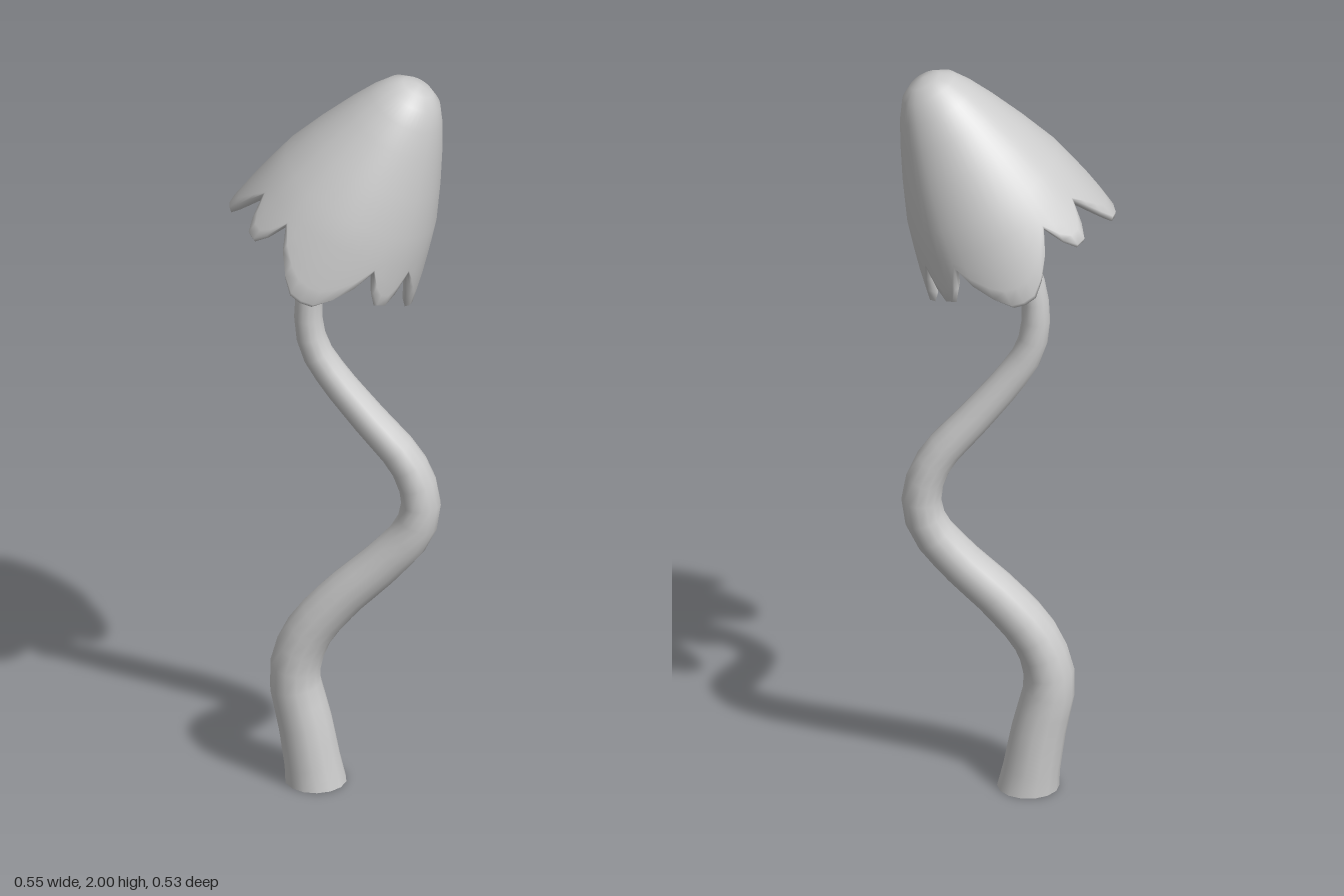
import * as THREE from 'three';
import { mergeVertices } from 'three/addons/utils/BufferGeometryUtils.js';

const material = new THREE.MeshStandardMaterial({ color: 0xcccccc });

// Skin a stack of closed rings (arrays of Vector3) with smooth normals
function loft(rings) {
  const n = rings[0].length;
  const index = [];
  for (let i = 0; i < rings.length - 1; i++) {
    for (let j = 0; j < n; j++) {
      const k = (j + 1) % n;
      const a = i * n + j, b = i * n + k, c = a + n, d = b + n;
      index.push(a, c, b, b, c, d);
    }
  }
  let geometry = new THREE.BufferGeometry().setFromPoints(rings.flat());
  geometry.setIndex(index);
  geometry = mergeVertices(geometry, 1e-5);
  geometry.computeVertexNormals();
  return geometry;
}

// Linear lookup in a list of [key, value] pairs
function lookup(table, key) {
  for (let i = 1; i < table.length; i++) {
    const [k0, v0] = table[i - 1], [k1, v1] = table[i];
    if (key <= k1) return v0 + (v1 - v0) * (key - k0) / (k1 - k0);
  }
  return table[table.length - 1][1];
}

// Winding, tapering stem
function createStem() {
  const sides = 14, steps = 36;
  const path = new THREE.CatmullRomCurve3([
    [-0.048, 0], [-0.075, 0.16], [-0.102, 0.3], [-0.07, 0.41], [0.015, 0.52],
    [0.13, 0.635], [0.205, 0.73], [0.222, 0.81], [0.19, 0.91], [0.09, 1.03],
    [0, 1.14], [-0.05, 1.22], [-0.067, 1.3], [-0.06, 1.4], [-0.03, 1.5], [0.05, 1.72],
  ].map(([x, y]) => new THREE.Vector3(x, y, 0)));
  const rings = [];
  for (let i = 0; i <= steps; i++) {
    const c = path.getPointAt(i / steps);
    const t = i === 0 ? new THREE.Vector3(0, 1, 0) : path.getTangentAt(i / steps);
    const rz = 0.082 - 0.032 * c.y;
    const rx = rz * (i === 0 ? 0.96 : 0.9);
    const ring = [];
    for (let j = 0; j < sides; j++) {
      const a = (j / sides) * Math.PI * 2;
      const u = Math.cos(a) * rx;
      ring.push(new THREE.Vector3(c.x + t.y * u, c.y - t.x * u, Math.sin(a) * rz));
    }
    rings.push(ring);
  }
  const group = new THREE.Group();
  group.name = 'stem';
  const body = new THREE.Mesh(loft(rings), material);
  body.name = 'stemBody';
  // Flat underside
  const base = new THREE.Mesh(new THREE.CircleGeometry(1, sides), material);
  base.name = 'stemBase';
  base.rotation.x = Math.PI / 2;
  base.scale.set(0.082 * 0.96, 0.082, 1);
  base.position.set(-0.048, 0, 0);
  group.add(body, base);
  return group;
}

// Bell-shaped cap with a rim of eight ragged lobes, tilted sideways
function createCap() {
  // Radius of the bell by depth below its top
  const profile = [[0, 0], [0.008, 0.042], [0.03, 0.074], [0.075, 0.103], [0.137, 0.134],
    [0.23, 0.175], [0.33, 0.214], [0.44, 0.242], [0.58, 0.268]];
  // Rim depth by angle over a quarter turn, then mirrored all round
  const quarter = [[0, 0.568], [8, 0.56], [15, 0.52], [22, 0.475], [29, 0.43], [35, 0.49],
    [40, 0.525], [46, 0.525], [52, 0.49], [58, 0.43], [66, 0.49], [75, 0.54], [83, 0.572], [90, 0.577]];
  const half = [...quarter, ...quarter.slice(0, -1).reverse().map(([a, d]) => [180 - a, d])];
  const rim = [...half, ...half.slice(1, -1).reverse().map(([a, d]) => [360 - a, d])];

  const ringAt = (depthOf, inset) => rim.map(([deg, edge]) => {
    const a = THREE.MathUtils.degToRad(deg);
    const depth = depthOf(edge);
    const r = Math.max(0, lookup(profile, depth) - inset);
    return new THREE.Vector3(Math.cos(a) * r, -depth, Math.sin(a) * r);
  });
  const lobe = (v) => (edge) => 0.4 + (edge - 0.4) * v;

  const rings = [
    // Hollow inside, from its closed top down to the rim
    ringAt(() => 0.26, 1),
    ringAt(() => 0.27, 0.08),
    ringAt(() => 0.32, 0.045),
    ringAt(lobe(0), 0.034),
    ringAt(lobe(0.5), 0.03),
    ringAt(lobe(0.9), 0.024),
    // Rounded rim
    ringAt(lobe(1), 0.012),
    // Outside, back up to the top
    ...[0.93, 0.7, 0.4, 0].map((v) => ringAt(lobe(v), 0)),
    ...[0.33, 0.23, 0.137, 0.075, 0.03, 0.008, 0].map((s) => ringAt(() => s, 0)),
  ];
  const cap = new THREE.Mesh(loft(rings), material);
  cap.name = 'cap';
  cap.rotation.z = THREE.MathUtils.degToRad(-27);
  cap.position.set(0.218, 1.987, 0);
  return cap;
}

export function createModel() {
  const model = new THREE.Group();
  model.name = 'mushroom';
  model.add(createStem(), createCap());
  return model;
}
